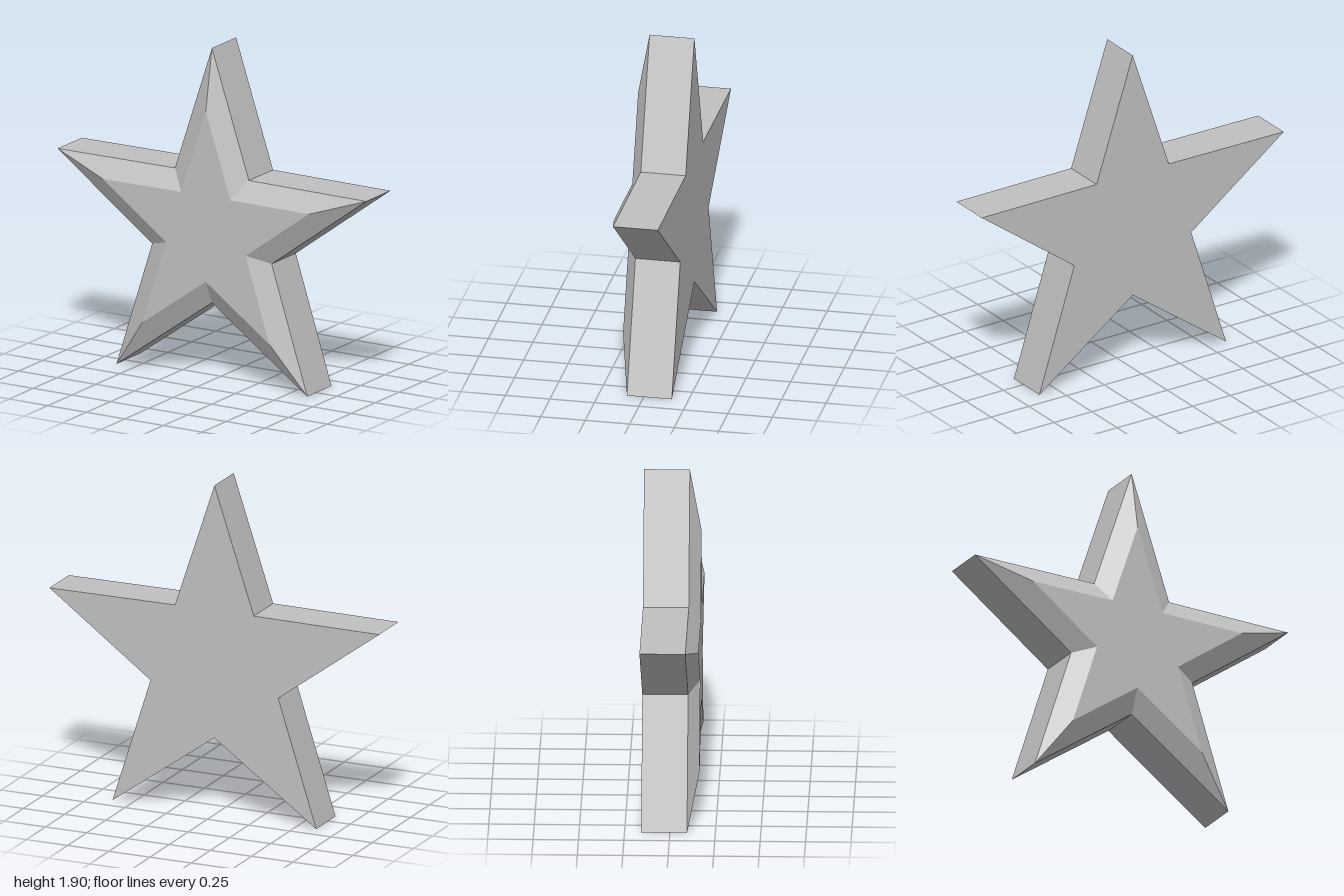
import * as THREE from 'three';

const OUTER = 1.0515, INNER = 0.407, CENTRE_Y = 0.851;
const BACK = -0.158, EDGE = 0.094, FRONT = 0.158, INSET = 2 / 3;

// Ten-point star outline, counter-clockwise from the top tip
function starLoop(scale, z) {
  return Array.from({ length: 10 }, (_, i) => {
    const r = (i % 2 ? INNER : OUTER) * scale;
    const a = Math.PI / 2 + (i * Math.PI) / 5;
    return [r * Math.cos(a), CENTRE_Y + r * Math.sin(a), z];
  });
}

function flatGeometry(triangles) {
  const g = new THREE.BufferGeometry();
  g.setAttribute('position', new THREE.Float32BufferAttribute(triangles.flat(2), 3));
  g.computeVertexNormals();
  return g;
}

// Wall joining a rear loop to a front loop
function band(rear, front) {
  const tris = [];
  rear.forEach((p, i) => {
    const j = (i + 1) % rear.length;
    tris.push([p, rear[j], front[j]], [p, front[j], front[i]]);
  });
  return flatGeometry(tris);
}

// Flat star face, fanned from its centre
function cap(loop, facingFront) {
  const c = [0, CENTRE_Y, loop[0][2]];
  return flatGeometry(loop.map((p, i) => {
    const q = loop[(i + 1) % loop.length];
    return facingFront ? [c, p, q] : [c, q, p];
  }));
}

export function createModel() {
  const group = new THREE.Group();
  group.name = 'star';
  const grey = new THREE.MeshStandardMaterial({ color: 0xc0c0c0 });
  grey.name = 'light grey';

  const back = starLoop(1, BACK);
  const edge = starLoop(1, EDGE);
  const front = starLoop(INSET, FRONT);

  const parts = {
    backFace: cap(back, false),
    sideWalls: band(back, edge),
    frontBevel: band(edge, front),
    frontFace: cap(front, true),
  };
  for (const [name, geometry] of Object.entries(parts)) {
    const mesh = new THREE.Mesh(geometry, grey);
    mesh.name = name;
    group.add(mesh);
  }
  return group;
}
